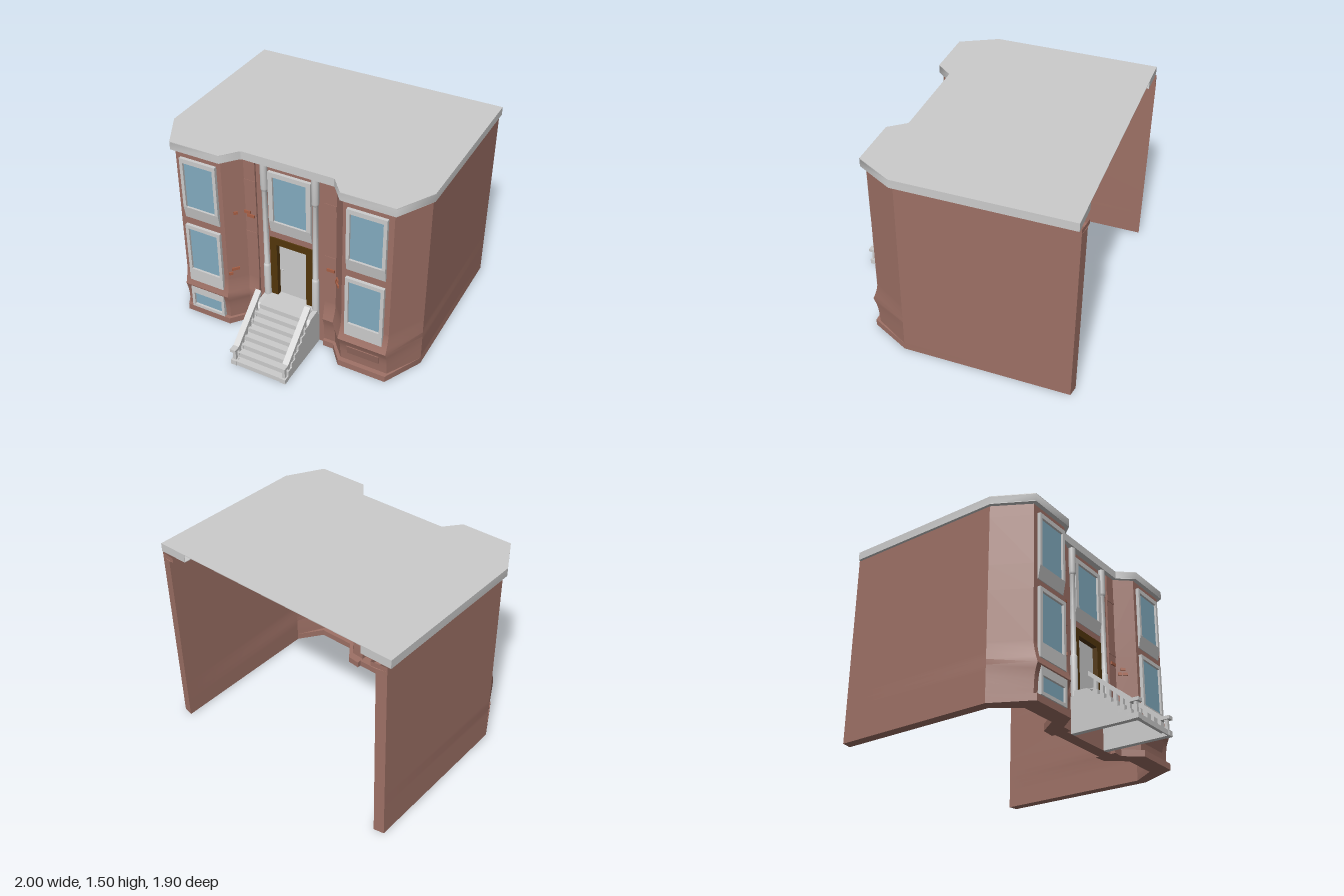
import * as THREE from 'three';
import { toCreasedNormals } from 'three/addons/utils/BufferGeometryUtils.js';

const mat = (color) => new THREE.MeshStandardMaterial({ color, side: THREE.DoubleSide });
const stone = mat(0xcccccc), wallMat = mat(0x9d7065), glassMat = mat(0x82abbf);
const woodMat = mat(0x52360b), brickMat = mat(0xa85f45);

// Wall profile: how far the front swells outwards at height y
const swell = [[0, 0.035], [0.05, 0.035], [0.052, 0], [0.14, 0.006], [0.2, 0.016], [0.26, 0.042],
  [0.3, 0.026], [0.35, 0.01], [0.4, 0], [2, 0]];
function swellAt(y) {
  const i = Math.max(1, swell.findIndex((p) => p[0] >= y));
  const [a, b] = [swell[i - 1], swell[i]];
  return a[1] + (b[1] - a[1]) * (y - a[0]) / (b[0] - a[0]);
}

// Half plan of the house: outer x, z, inner x, z, swell direction x, z
const plan = [
  [0.98, -0.94, 0.905, -0.955, 0, 0],
  [0.98, 0.3, 0.905, 0.27, 0, 0],
  [0.83, 0.56, 0.775, 0.5, 0, 1],
  [0.77, 0.56, 0.765, 0.5, 0, 1],
  [0.53, 0.56, 0.53, 0.5, 0, 1],
  [0.465, 0.56, 0.485, 0.5, -0.15, 1],
  [0.36, 0.44, 0.38, 0.37, -0.2, 0.7],
  [0.27, 0.44, 0.27, 0.36, 0, 0.7],
];
const rows = [0, 0.05, 0.052, 0.08, 0.14, 0.19, 0.22, 0.26, 0.3, 0.35, 0.4, 0.42, 0.79, 0.98, 1.35, 1.41, 1.412, 1.445];

function sideWall(side) {
  const openings = [[0.42, 0.79], [0.98, 1.35]];
  if (side < 0) openings.push([0.08, 0.19]);
  const pos = [];
  const point = (i, y, inner) => {
    const p = plan[i], b = swellAt(y) * (side > 0 ? 1 : 0.75);
    // inside ledges: along the front at the floor, all round under the roof
    const ledge = inner && i > 1 && (y <= 0.05 || y > 1.411) ? 0.05 + b : 0;
    const sideLedge = inner && i < 2 && y > 1.411 ? 0.04 : 0;
    return [side * (p[inner ? 2 : 0] + p[4] * b - sideLedge), y, p[inner ? 3 : 1] + p[5] * b - ledge];
  };
  const quad = (a, b, c, d) => {
    if (side < 0) [b, d] = [d, b];
    pos.push(...a, ...b, ...c, ...a, ...c, ...d);
  };
  const last = plan.length - 1, top = rows.length - 1;
  for (let j = 0; j < top; j++) {
    const y0 = rows[j], y1 = rows[j + 1];
    for (let i = 0; i < last; i++) {
      if (i === 3 && openings.some(([a, b]) => y0 >= a && y1 <= b)) continue;
      quad(point(i + 1, y0), point(i, y0), point(i, y1), point(i + 1, y1));
      quad(point(i, y0, 1), point(i + 1, y0, 1), point(i + 1, y1, 1), point(i, y1, 1));
    }
    quad(point(0, y0), point(0, y0, 1), point(0, y1, 1), point(0, y1));
    quad(point(last, y0, 1), point(last, y0), point(last, y1), point(last, y1, 1));
  }
  for (let i = 0; i < last; i++) quad(point(i, 0), point(i + 1, 0), point(i + 1, 0, 1), point(i, 0, 1));
  // reveals of the window openings
  for (const [a, b] of openings) {
    quad(point(4, a), point(3, a), point(3, a, 1), point(4, a, 1));
    quad(point(3, b), point(4, b), point(4, b, 1), point(3, b, 1));
    quad(point(3, a), point(3, b), point(3, b, 1), point(3, a, 1));
    quad(point(4, b), point(4, a), point(4, a, 1), point(4, b, 1));
  }
  const g = new THREE.BufferGeometry();
  g.setAttribute('position', new THREE.Float32BufferAttribute(pos, 3));
  g.computeVertexNormals();
  return toCreasedNormals(g, 0.48);
}

// Box given by its limits
function box(x0, x1, y0, y1, z0, z1) {
  return new THREE.BoxGeometry(x1 - x0, y1 - y0, z1 - z0)
    .translate((x0 + x1) / 2, (y0 + y1) / 2, (z0 + z1) / 2);
}

// [z, y] outline extruded along x
function extrudeX(pts, x0, x1) {
  const shape = new THREE.Shape(pts.map((p) => new THREE.Vector2(...p)));
  return new THREE.ExtrudeGeometry(shape, { depth: x1 - x0, bevelEnabled: false })
    .rotateY(-Math.PI / 2).translate(x1, 0, 0);
}

// [x, z] outline extruded upwards from y0 to y1
function extrudeY(pts, y0, y1) {
  const shape = new THREE.Shape(pts.map(([x, z]) => new THREE.Vector2(x, -z)));
  return new THREE.ExtrudeGeometry(shape, { depth: y1 - y0, bevelEnabled: false })
    .rotateX(-Math.PI / 2).translate(0, y0, 0);
}

export function createModel() {
  const house = new THREE.Group();
  house.name = 'townhouse';
  const add = (name, geometry, material = stone, parent = house) => {
    const mesh = new THREE.Mesh(geometry, material);
    mesh.name = name;
    parent.add(mesh);
    return mesh;
  };

  // Side walls with bays, and the trim bands beside the entrance
  for (const s of [-1, 1]) {
    add(s > 0 ? 'leftWall' : 'rightWall', sideWall(s), wallMat);
    for (const y of [0.78, 1.22]) {
      add('trimBand', box(s * 0.315 - 0.045, s * 0.315 + 0.045, y, y + 0.045, 0.43, 0.444), wallMat);
    }
  }

  // Entrance wall around the door and the window above it, with a floor ledge
  const rect = (Type, x0, x1, y0, y1) => new Type([[x0, y0], [x1, y0], [x1, y1], [x0, y1]]
    .map((p) => new THREE.Vector2(...p)));
  const front = rect(THREE.Shape, -0.275, 0.275, 0, 1.445);
  front.holes.push(rect(THREE.Path, -0.13, 0.13, 0.98, 1.35), rect(THREE.Path, -0.16, 0.16, 0.302, 0.81));
  add('entranceWall', new THREE.ExtrudeGeometry(front, { depth: 0.025, bevelEnabled: false })
    .translate(0, 0, 0.4), wallMat);
  add('floorLedge', box(-0.27, 0.27, 0, 0.05, 0.33, 0.41), wallMat);

  // Windows: surround, sill (sloped when asked) and glass; z is the wall face
  function addWindow(x, halfOuter, halfGlass, [y0, g0, g1, y1], z, sloped) {
    const w = new THREE.Group();
    w.name = 'window';
    house.add(w);
    const zb = z - 0.015, zf = z + 0.025;
    add('surroundTop', box(x - halfOuter, x + halfOuter, g1, y1, zb, zf), stone, w);
    for (const s of [-1, 1]) {
      const a = x + s * halfGlass, b = x + s * halfOuter;
      add('surroundSide', box(Math.min(a, b), Math.max(a, b), g0, g1, zb, zf), stone, w);
    }
    add('sill', extrudeX([[zb, y0], [sloped ? z + 0.006 : zf, y0], [zf, g0], [zb, g0]],
      x - halfOuter, x + halfOuter), stone, w);
    add('glass', box(x - halfGlass, x + halfGlass, g0, g1, z - 0.005, z + 0.008), glassMat, w);
  }
  const upper = [0.88, 0.98, 1.35, 1.385], middle = [0.312, 0.42, 0.79, 0.82];
  for (const x of [-0.645, 0.645]) {
    addWindow(x, 0.145, 0.12, upper, 0.56, true);
    addWindow(x, 0.145, 0.12, middle, 0.56, false);
  }
  addWindow(-0.645, 0.143, 0.12, [0.055, 0.08, 0.19, 0.25], 0.565, false);
  addWindow(0, 0.165, 0.13, upper, 0.425, true);

  // Blocked-up basement window
  add('blockedWindow', extrudeX([[0.52, 0.11], [0.562, 0.11], [0.585, 0.2], [0.52, 0.2]], 0.52, 0.77), wallMat);

  // Door with frame and knob
  for (const s of [-1, 1]) {
    add('doorPost', box(s * 0.145 - 0.027, s * 0.145 + 0.027, 0.31, 0.825, 0.35, 0.435), woodMat);
  }
  add('doorLintel', box(-0.118, 0.118, 0.77, 0.825, 0.35, 0.435), woodMat);
  add('door', box(-0.118, 0.118, 0.305, 0.77, 0.38, 0.395));
  add('doorKnob', new THREE.SphereGeometry(0.008, 10, 8).translate(-0.09, 0.53, 0.402));

  // Columns flanking the entrance
  const columnProfile = [[0, 0.27], [0.027, 0.27], [0.027, 0.565], [0.024, 0.58], [0.02, 0.585],
    [0.02, 1.22], [0.024, 1.225], [0.027, 1.24], [0.027, 1.445]];
  for (const s of [-1, 1]) {
    add('column', toCreasedNormals(new THREE.LatheGeometry(
      columnProfile.map((p) => new THREE.Vector2(...p)), 16), 0.7).translate(s * 0.198, 0, 0.44));
  }

  // Steps: a thin folded sheet
  const folds = [[0.395, 0.31], [0.59, 0.31]];
  for (let i = 0; i < 7; i++) {
    const y = 0.31 - (i + 1) * 0.039;
    folds.push([0.59 + i * 0.05, y], [0.64 + i * 0.05, y]);
  }
  folds.push([0.94, 0]);
  const underside = folds.map(([z, y]) => [z - 0.01, Math.max(0, y - 0.01)]).reverse();
  add('steps', extrudeX([...folds, ...underside], -0.185, 0.185));

  // Stair sides and railings
  const stringerY = (z) => 0.03 + (0.9 - Math.min(z, 0.9)) * 0.79;
  const railY = (z) => 0.12 + Math.max(0, 0.88 - z) * 0.86;
  for (const s of [-1, 1]) {
    const x0 = s * 0.202 - 0.02, x1 = s * 0.202 + 0.02;
    add('stairSide', extrudeX([[0.41, 0], [0.94, 0], [0.94, 0.025], [0.9, 0.03], [0.56, 0.3], [0.41, 0.31]], x0, x1));
    add('handrail', extrudeX([[0.95, 0.12], [0.95, 0.145], [0.9, 0.145], [0.57, 0.425],
      [0.57, 0.39], [0.88, 0.12]], x0 - 0.003, x1 + 0.003));
    add('newelFoot', box(x0 - 0.003, x1 + 0.003, 0, 0.04, 0.895, 0.945));
    for (let i = 0; i < 7; i++) {
      const z = 0.918 - i * 0.05, y = stringerY(z);
      add('baluster', box(x0 + 0.008, x1 - 0.008, y - 0.02, railY(z) + 0.01, z - 0.012, z + 0.012));
      if (i) add('balusterFoot', box(x0, x1, y - 0.03, y + 0.02, z - 0.024, z + 0.024));
    }
  }

  // Roof plate, the cornice around its sides and front, and the soffit under it
  const half = [[1, -0.93], [1, 0.32], [0.85, 0.592], [0.455, 0.592], [0.36, 0.475], [0.35, 0.47]];
  const inner = [[0.77, -0.93], [0.77, 0.22], [0.7, 0.38], [0.52, 0.38], [0.42, 0.29]];
  const mirrored = (pts) => [...pts, ...pts.map(([x, z]) => [-x, z]).reverse()];
  const outline = mirrored(half);
  add('roof', extrudeY(outline, 1.498, 1.503));
  add('soffit', extrudeY([...outline, ...mirrored(inner).reverse()], 1.44, 1.444));
  const cornice = new THREE.PlaneGeometry(1, 0.06, outline.length - 1, 1);
  const cp = cornice.attributes.position;
  for (let i = 0; i < cp.count; i++) {
    const [x, z] = outline[outline.length - 1 - i % outline.length];
    cp.setXYZ(i, x, 1.47 + cp.getY(i), z);
  }
  cornice.computeVertexNormals();
  add('cornice', cornice);
  for (const s of [-1, 1]) add('corniceEnd', box(s * 0.885 - 0.115, s * 0.885 + 0.115, 1.44, 1.5, -0.93, -0.926));

  // Loose bricks: x, y, z, width, turn
  const turn = Math.atan2(0.12, 0.105);
  const bricks = [
    [-0.345, 0.992, 0.44, 0.055, 0], [-0.315, 0.966, 0.44, 0.06, 0], [0.32, 0.71, 0.44, 0.06, 0],
    [0.395, 0.682, 0.48, 0.035, -turn], [0.405, 0.645, 0.492, 0.035, -turn], [0.38, 0.645, 0.463, 0.03, -turn],
    [-0.41, 0.993, 0.497, 0.03, turn], [-0.425, 0.5, 0.514, 0.06, turn], [-0.45, 0.465, 0.543, 0.03, turn],
  ];
  for (const [x, y, z, w, a] of bricks) {
    const brick = add('looseBrick', new THREE.BoxGeometry(w, 0.022, 0.02), brickMat);
    brick.position.set(x, y, z);
    brick.rotation.y = a;
  }
  return house;
}
